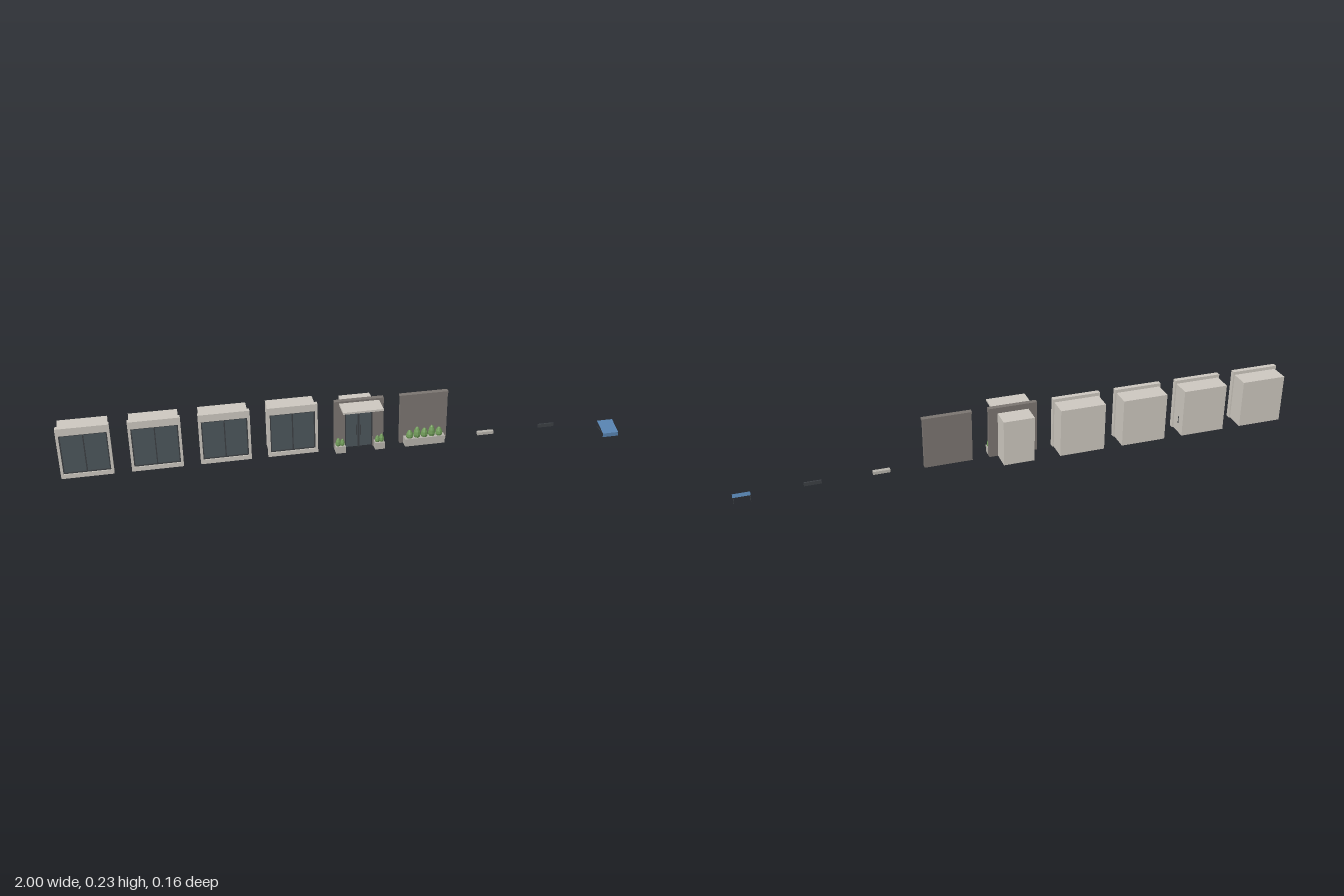
import * as THREE from 'three';

const mat = (color, extra = {}) => new THREE.MeshStandardMaterial({ color, ...extra });

export function createModel() {
  const model = new THREE.Group();
  const stone = mat(0xcbc6be), concrete = mat(0xb5b2aa), brick = mat(0x7a7470);
  const glass = mat(0x4c555b), metal = mat(0x3b3f43);
  const leaf = mat(0x6f9a58, { flatShading: true });
  const canvas = mat(0x5580ad, { side: THREE.DoubleSide });

  const BASE = 0.037, TOP = 0.227, HALF = 0.088;
  const WALL_BACK = -0.008, WALL_FRONT = 0.01;

  // Box given by its extents on each axis
  function box(parent, name, x0, x1, y0, y1, z0, z1, material) {
    const mesh = new THREE.Mesh(new THREE.BoxGeometry(x1 - x0, y1 - y0, z1 - z0), material);
    mesh.position.set((x0 + x1) / 2, (y0 + y1) / 2, (z0 + z1) / 2);
    mesh.name = name;
    parent.add(mesh);
    return mesh;
  }

  // Nine pieces stand in a row at an even spacing
  function piece(name, index) {
    const group = new THREE.Group();
    group.name = name;
    group.position.x = -0.912 + index * 0.235;
    model.add(group);
    return group;
  }

  // Egg-shaped shrub pointed at the top
  function shrub(parent, x, y, z, radius, height) {
    const points = [[0, 0], [0.75, 0.05], [1, 0.3], [0.85, 0.58], [0.45, 0.86], [0, 1]]
      .map(([r, h]) => new THREE.Vector2(r * radius, h * height));
    const mesh = new THREE.Mesh(new THREE.LatheGeometry(points, 8), leaf);
    mesh.position.set(x, y, z);
    mesh.name = 'shrub';
    parent.add(mesh);
  }

  // Four shop windows, each with a room box behind
  for (let i = 0; i < 4; i++) {
    const g = piece('shopWindow', i);
    box(g, 'fascia', -HALF, HALF, 0.2, TOP, WALL_BACK, WALL_FRONT, stone);
    box(g, 'lowerWall', -HALF, HALF, BASE, 0.053, WALL_BACK, WALL_FRONT, stone);
    box(g, 'room', -0.083, 0.083, BASE, 0.215, -0.078, WALL_BACK, stone);
    box(g, 'glass', -0.079, 0.079, 0.053, 0.2, -0.007, 0.002, glass);
    for (const s of [-1, 1]) {
      box(g, 'jamb', s * 0.0835 - 0.0045, s * 0.0835 + 0.0045, 0.053, 0.2, WALL_BACK, WALL_FRONT, stone);
      box(g, 'sideFrame', s * 0.077 - 0.002, s * 0.077 + 0.002, 0.053, 0.2, -0.006, 0.006, metal);
    }
    box(g, 'mullion', -0.002, 0.002, 0.053, 0.2, 0, 0.006, metal);
    box(g, 'topFrame', -0.079, 0.079, 0.196, 0.2, 0, 0.006, metal);
    box(g, 'bottomFrame', -0.079, 0.079, 0.053, 0.057, 0, 0.006, metal);
    if (i === 1) box(g, 'displayRail', -0.0845, 0.0845, 0.072, 0.1, -0.046, -0.043, metal);
  }

  // Entrance: wall with doorway, double door, canopy, two planters
  const entrance = piece('entrance', 4);
  box(entrance, 'lintelWall', -HALF, HALF, 0.18, TOP, WALL_BACK, WALL_FRONT, brick);
  box(entrance, 'vestibule', -0.056, 0.056, BASE, 0.206, -0.078, WALL_BACK, stone);
  box(entrance, 'canopy', -0.071, 0.071, 0.213, 0.22, 0.008, 0.081, stone);
  box(entrance, 'doorGlass', -0.05, 0.05, BASE, 0.18, -0.008, -0.003, glass);
  box(entrance, 'doorHead', -0.05, 0.05, 0.175, 0.18, -0.003, 0.002, metal);
  for (const s of [-1, 1]) {
    const span = (a, b) => s > 0 ? [a, b] : [-b, -a];
    box(entrance, 'sideWall', ...span(0.05, HALF), BASE, 0.18, WALL_BACK, WALL_FRONT, brick);
    box(entrance, 'doorStile', ...span(0.046, 0.05), BASE, 0.175, -0.003, 0.002, metal);
    box(entrance, 'doorMiddleStile', ...span(0.0005, 0.003), BASE, 0.175, -0.003, 0.002, metal);
    box(entrance, 'doorHandle', ...span(0.006, 0.008), 0.085, 0.125, -0.003, 0.005, metal);
    box(entrance, 'planter', ...span(0.053, HALF), BASE, 0.063, WALL_FRONT, 0.037, concrete);
    shrub(entrance, s * 0.063, 0.06, 0.024, 0.009, 0.028);
    shrub(entrance, s * 0.078, 0.06, 0.024, 0.01, 0.033);
  }

  // Blank wall with a long planter
  const blank = piece('blankWall', 5);
  box(blank, 'wall', -0.086, 0.086, BASE, 0.22, WALL_BACK, 0.009, brick);
  box(blank, 'coping', -HALF, HALF, 0.219, TOP, -0.009, WALL_FRONT, brick);
  box(blank, 'planter', -0.073, 0.073, BASE, 0.066, 0.009, 0.039, concrete);
  [0.034, 0.045, 0.038, 0.046, 0.036].forEach((h, i) =>
    shrub(blank, (i - 2) * 0.027, 0.062, 0.025, 0.0135, h));

  // Loose step and sign bars
  box(piece('stepBar', 6), 'bar', -0.03, 0.03, BASE, 0.048, 0, 0.014, concrete);
  box(piece('signBar', 7), 'bar', -0.03, 0.03, BASE, 0.05, 0, 0.005, metal);

  // Awning: sloping cloth, hanging valance and side arms
  const awning = piece('awning', 8);
  const topEdge = 0.037, frontEdge = 0.015, reach = 0.061;
  const slope = new THREE.Mesh(new THREE.PlaneGeometry(0.06, Math.hypot(topEdge - frontEdge, reach)), canvas);
  slope.rotation.x = -Math.atan2(reach, topEdge - frontEdge);
  slope.position.set(0, (topEdge + frontEdge) / 2, reach / 2);
  slope.name = 'cloth';
  const valance = new THREE.Mesh(new THREE.PlaneGeometry(0.06, frontEdge), canvas);
  valance.position.set(0, frontEdge / 2, reach);
  valance.name = 'valance';
  awning.add(slope, valance);
  for (const s of [-1, 1])
    box(awning, 'arm', s * 0.028 - 0.0006, s * 0.028 + 0.0006, 0.013, 0.0142, 0, reach, metal);

  return model;
}
